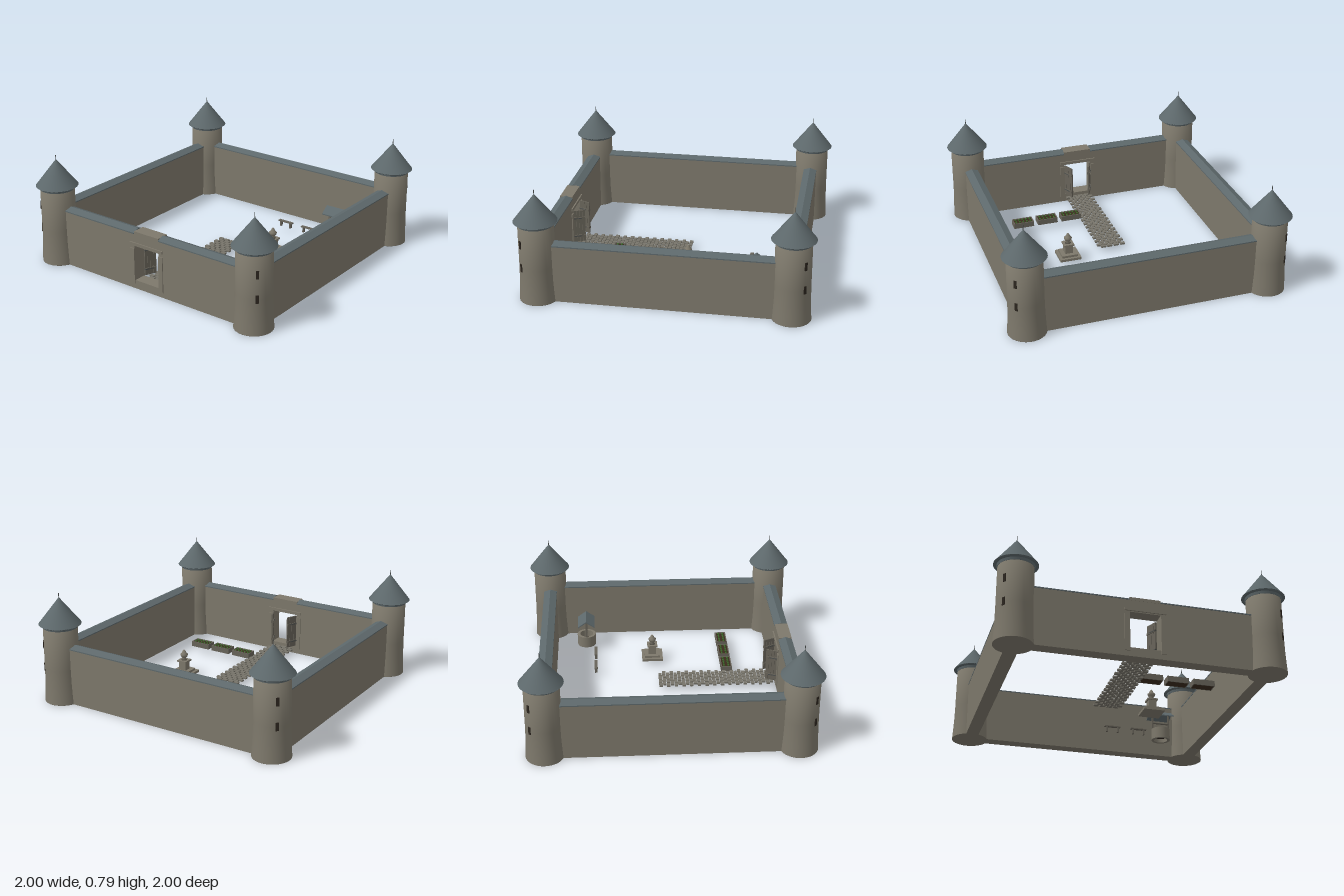
import * as THREE from 'three';

const mat = (name, color, flat = false) => {
  const m = new THREE.MeshStandardMaterial({ color, flatShading: flat });
  m.name = name;
  return m;
};

export function createModel() {
  const stone = mat('stone', 0x7d786b);
  const slate = mat('slate', 0x5d686b);
  const paving = mat('paving', 0x77746a);
  const timber = mat('timber', 0x676359);
  const dark = mat('window dark', 0x2c261f);
  const iron = mat('iron', 0x4a4d4c);
  const soil = mat('soil', 0x3a2b1d);
  const leaf = mat('leaf', 0x3f6a2c, true);

  const model = new THREE.Group();
  model.name = 'walledCourtyard';
  const GROUND = 0.04;

  const add = (parent, name, geo, material, x = 0, y = 0, z = 0) => {
    const mesh = new THREE.Mesh(geo, material);
    mesh.name = name;
    mesh.position.set(x, y, z);
    parent.add(mesh);
    return mesh;
  };
  // Box given by its centre in x and z and by its bottom and top
  const box = (parent, name, material, w, d, y0, y1, x = 0, z = 0) =>
    add(parent, name, new THREE.BoxGeometry(w, y1 - y0, d), material, x, (y0 + y1) / 2, z);
  const group = (name, x = 0, y = 0, z = 0) => {
    const g = new THREE.Group();
    g.name = name;
    g.position.set(x, y, z);
    model.add(g);
    return g;
  };
  const lathe = (pts, seg = 40) =>
    new THREE.LatheGeometry(pts.map(([r, y]) => new THREE.Vector2(r, y)), seg);
  // Prism along x from a cross-section of [z, y] points
  const prism = (pts, length) => {
    const s = new THREE.Shape(pts.map(([z, y]) => new THREE.Vector2(-z, y)));
    const g = new THREE.ExtrudeGeometry(s, { depth: length, bevelEnabled: false });
    return g.translate(0, 0, -length / 2).rotateY(Math.PI / 2);
  };

  // Corner towers, with window slits on the outer diagonal
  for (const sx of [-1, 1]) for (const sz of [-1, 1]) {
    const t = group('tower', sx * 0.85, 0, sz * 0.85);
    add(t, 'towerBody', lathe([[0, 0], [0.131, 0], [0.131, 0.001], [0.127, 0.07], [0.123, 0.15],
      [0.121, 0.25], [0.12, 0.545], [0, 0.545]]), stone);
    add(t, 'towerCollar', new THREE.CylinderGeometry(0.127, 0.122, 0.02, 40), slate, 0, 0.553, 0);
    add(t, 'towerRoof', new THREE.ConeGeometry(0.148, 0.19, 40), slate, 0, 0.661, 0);
    add(t, 'roofEave', new THREE.CylinderGeometry(0.148, 0.14, 0.006, 40), slate, 0, 0.564, 0);
    add(t, 'finial', new THREE.CylinderGeometry(0.002, 0.003, 0.045, 8), iron, 0, 0.763, 0);
    for (const y of [0.253, 0.42]) {
      const slit = add(t, 'windowSlit', new THREE.BoxGeometry(0.02, 0.056, 0.009), dark,
        sx * 0.0848, y, sz * 0.0848);
      slit.rotation.y = Math.atan2(sx, sz);
    }
  }

  // Curtain walls with gabled coping
  const coping = [[-0.048, 0.402], [0.048, 0.402], [0.048, 0.41], [0, 0.43], [-0.048, 0.41]];
  for (const [x, z, turn] of [[0, -0.848, 0], [-0.848, 0, 1], [0.848, 0, 1]]) {
    const w = group('wall', x, 0, z);
    box(w, 'wallBody', stone, 1.56, 0.092, 0, 0.404);
    add(w, 'wallCoping', prism(coping, 1.56), slate);
    w.rotation.y = turn * Math.PI / 2;
  }

  // Front wall with the gate opening
  const front = group('frontWall', 0, 0, 0.848);
  const outline = new THREE.Shape([[-0.78, 0], [0.78, 0], [0.78, 0.404], [-0.78, 0.404]]
    .map(p => new THREE.Vector2(...p)));
  outline.holes.push(new THREE.Path([[-0.105, 0.062], [-0.105, 0.315], [0.105, 0.315], [0.105, 0.062]]
    .map(p => new THREE.Vector2(...p))));
  add(front, 'frontWallBody',
    new THREE.ExtrudeGeometry(outline, { depth: 0.09, bevelEnabled: false }), stone, 0, 0, -0.045);
  box(front, 'gateHeadBlock', stone, 0.21, 0.092, 0.4, 0.422);
  box(front, 'gateLintel', stone, 0.28, 0.108, 0.322, 0.342);
  for (const s of [-1, 1]) {
    add(front, 'frontCoping', prism(coping, 0.675), slate, s * 0.4425, 0, 0);
    box(front, 'gateJamb', stone, 0.035, 0.104, 0.037, 0.297, s * 0.1225);

    // Open door leaf: planks, two battens and a hinge strap
    const door = group('gateDoor', s * 0.1, 0, 0.802);
    for (let i = 0; i < 4; i++)
      box(door, 'doorPlank', timber, 0.02, 0.01, 0.066, 0.31, 0.011 + i * 0.0215);
    for (const y of [0.11, 0.25]) {
      box(door, 'doorBatten', timber, 0.084, 0.02, y - 0.008, y + 0.008, 0.043);
      box(door, 'hingeStrap', iron, 0.06, 0.024, y - 0.003, y + 0.003, 0.03);
    }
    door.rotation.y = Math.atan2(0.08, -s * 0.035);
  }

  // Paved path in staggered rows with slight irregularity
  let seed = 7;
  const rand = () => (seed = (seed * 16807) % 2147483647) / 2147483647 - 0.5;
  const path = group('path');
  for (let row = 0; row < 30; row++) for (let i = 0; i < 4; i++) {
    const b = box(path, 'pavingStone', paving, 0.037 + rand() * 0.006, 0.024 + rand() * 0.004,
      GROUND - 0.004, GROUND + 0.008,
      (row % 2 ? -0.06 : -0.082) + i * 0.0475 + rand() * 0.004, -0.038 + row * 0.0279);
    b.rotation.y = rand() * 0.1;
  }

  // Planter beds with two rows of seedlings
  for (const x of [0.168, 0.352, 0.536]) {
    const bed = group('planterBed', x, 0, 0.457);
    box(bed, 'bedSoil', soil, 0.14, 0.068, GROUND, 0.074);
    for (const s of [-1, 1]) {
      box(bed, 'bedSideBoard', timber, 0.152, 0.007, GROUND, 0.08, 0, s * 0.0365);
      box(bed, 'bedEndBoard', timber, 0.007, 0.066, GROUND, 0.08, s * 0.0725);
      for (let i = -2; i <= 2; i++)
        add(bed, 'seedling', new THREE.IcosahedronGeometry(0.0085, 0), leaf, i * 0.027, 0.079, s * 0.016);
    }
  }

  // Stepped monument topped with an urn
  const mon = group('monument', 0.343, 0, -0.083);
  box(mon, 'lowerStep', stone, 0.155, 0.155, GROUND, 0.058);
  box(mon, 'upperStep', stone, 0.115, 0.115, 0.058, 0.074);
  box(mon, 'pedestal', stone, 0.056, 0.056, 0.074, 0.135);
  box(mon, 'pedestalCap', stone, 0.075, 0.075, 0.135, 0.147);
  add(mon, 'urn', lathe([[0, 0.147], [0.022, 0.147], [0.01, 0.16], [0.024, 0.175], [0.029, 0.19],
    [0.019, 0.199], [0.013, 0.212], [0.006, 0.222], [0, 0.228]], 16), stone);

  // Two benches
  for (const x of [0.168, 0.37]) {
    const bench = group('bench', x, 0, -0.508);
    box(bench, 'benchSeat', timber, 0.122, 0.024, 0.078, 0.086);
    for (const s of [-1, 1])
      box(bench, 'benchLeg', timber, 0.012, 0.02, GROUND, 0.078, s * 0.042);
  }

  // Roofed well
  const well = group('well', 0.57, 0, -0.578);
  add(well, 'wellRing', lathe([[0.05, GROUND], [0.07, GROUND], [0.07, GROUND], [0.07, 0.125],
    [0.07, 0.125], [0.05, 0.125], [0.05, 0.125], [0.05, GROUND]], 24), stone);
  add(well, 'wellWater', new THREE.CylinderGeometry(0.051, 0.051, 0.004, 24), dark, 0, 0.07, 0);
  for (const s of [-1, 1])
    box(well, 'wellPost', timber, 0.011, 0.011, GROUND, 0.25, s * 0.062);
  const winch = add(well, 'wellWinch', new THREE.CylinderGeometry(0.007, 0.007, 0.13, 12), timber, 0, 0.175, 0);
  winch.rotation.z = Math.PI / 2;
  add(well, 'wellRoof', prism([[-0.064, 0.218], [0, 0.262], [0.064, 0.218], [0.064, 0.226],
    [0, 0.272], [-0.064, 0.226]], 0.178), slate);

  return model;
}
